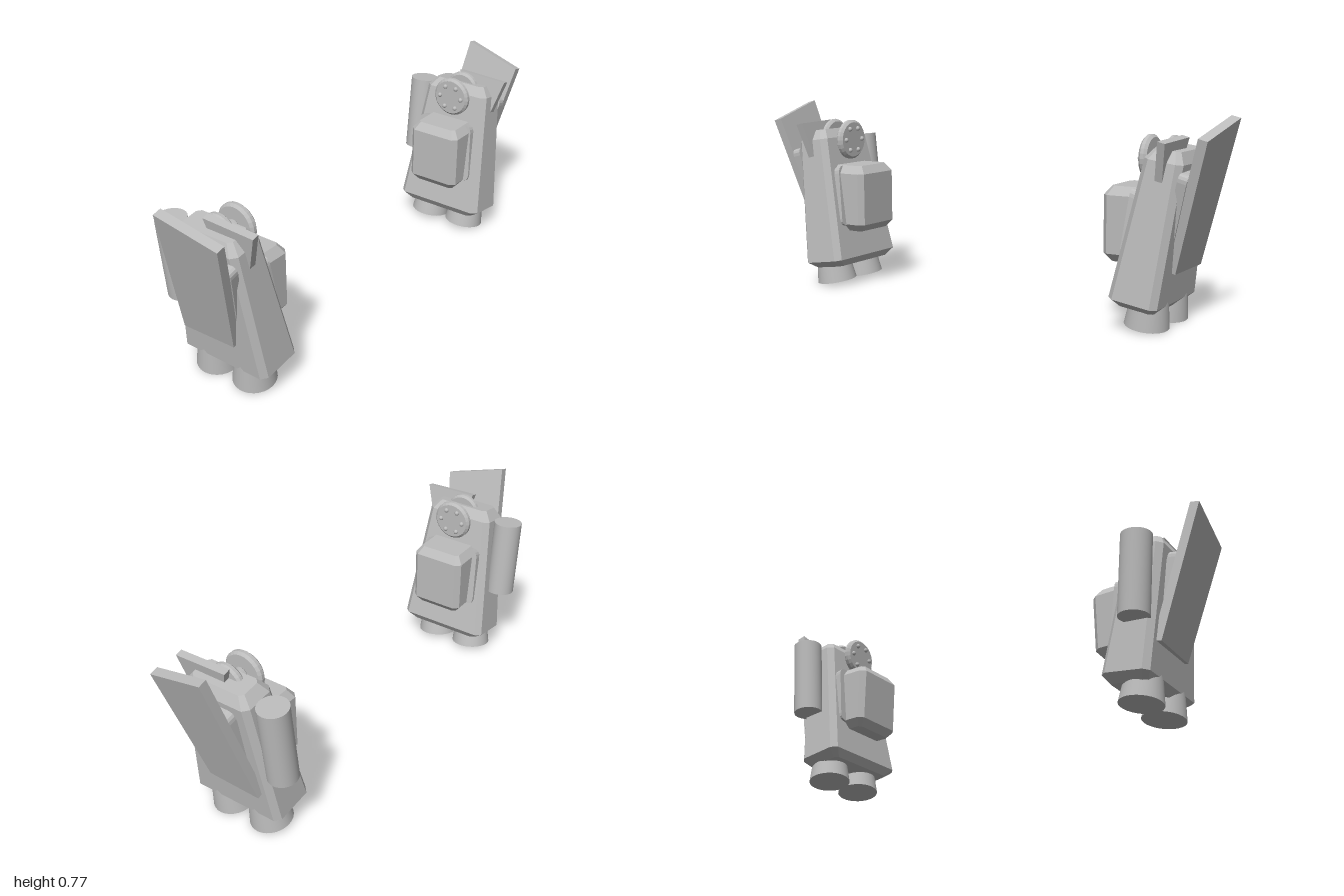
import * as THREE from 'three';

const grey = new THREE.MeshStandardMaterial({ color: 0xbcbcbc });
grey.name = 'plain grey';

// Closed solid through equal-sized rings of [x, y, z], flat shaded, faces turned outward
function loft(rings) {
  const tris = [], n = rings[0].length;
  for (let r = 0; r < rings.length - 1; r++) {
    for (let i = 0; i < n; i++) {
      const j = (i + 1) % n, a = rings[r], b = rings[r + 1];
      tris.push([a[i], a[j], b[j]], [a[i], b[j], b[i]]);
    }
  }
  const first = rings[0], last = rings[rings.length - 1];
  for (let i = 1; i < n - 1; i++) {
    tris.push([first[0], first[i + 1], first[i]], [last[0], last[i], last[i + 1]]);
  }
  const v = p => new THREE.Vector3(...p), o = v(first[0]);
  let volume = 0;
  for (const [a, b, c] of tris) volume += v(a).sub(o).dot(v(b).sub(o).cross(v(c).sub(o)));
  const pos = tris.flatMap(([a, b, c]) => (volume < 0 ? [...a, ...c, ...b] : [...a, ...b, ...c]));
  const g = new THREE.BufferGeometry();
  g.setAttribute('position', new THREE.Float32BufferAttribute(pos, 3));
  g.computeVertexNormals();
  return g;
}

// Horizontal rectangle with cut corners; lean drops its outer side
function ring(y, xc, hw, z0, z1, c, lean = 0) {
  const hz = (z1 - z0) / 2, zc = (z0 + z1) / 2;
  return [[hw - c, hz], [hw, hz - c], [hw, c - hz], [hw - c, -hz],
    [c - hw, -hz], [-hw, c - hz], [-hw, hz - c], [c - hw, hz]]
    .map(([x, z]) => [xc + x, y - x * lean, zc + z]);
}

// Upright leaning plate from a [z, y] outline, with corners rounded by r
function plate(outline, xAt, thick, r = 0) {
  const pts = [];
  outline.forEach((p, i) => {
    if (!r) { pts.push(p); return; }
    const n = outline.length, P = new THREE.Vector2(...p);
    const toward = q => P.clone().add(new THREE.Vector2(...q).sub(P).setLength(r));
    const curve = new THREE.QuadraticBezierCurve(
      toward(outline[(i + n - 1) % n]), P, toward(outline[(i + 1) % n]));
    curve.getPoints(4).forEach(q => pts.push([q.x, q.y]));
  });
  return loft([0, 1].map(k => pts.map(([z, y]) => [xAt(y, z) - k * thick, y + k * thick * 0.25, z])));
}

// Disc facing sideways, with a bevelled rim
function disc(r, t, x, y, z) {
  const b = t * 0.3;
  const profile = [[0, -t / 2], [r - b, -t / 2], [r, b - t / 2], [r, t / 2 - b], [r - b, t / 2], [0, t / 2]]
    .map(p => new THREE.Vector2(...p));
  const g = new THREE.LatheGeometry(profile, 28).toNonIndexed();
  g.computeVertexNormals();
  return g.rotateZ(Math.PI / 2).translate(x, y, z);
}

// Reflected copy across x = 0, with the corner order restored
function mirrored(geometry) {
  const g = geometry.index ? geometry.toNonIndexed() : geometry.clone();
  g.scale(-1, 1, 1);
  for (const a of Object.values(g.attributes)) {
    const s = a.itemSize;
    for (let i = 0; i < a.count; i += 3) {
      for (let k = 0; k < s; k++) {
        const p = (i + 1) * s + k, q = (i + 2) * s + k, t = a.array[p];
        a.array[p] = a.array[q];
        a.array[q] = t;
      }
    }
  }
  return g;
}

export function createModel() {
  const model = new THREE.Group();
  model.name = 'mirroredPods';
  const leftPod = new THREE.Group(), rightPod = new THREE.Group();
  leftPod.name = 'leftPod';
  rightPod.name = 'rightPod';
  model.add(leftPod, rightPod);

  const add = (name, geometry) => {
    for (const [pod, g] of [[leftPod, geometry], [rightPod, mirrored(geometry)]]) {
      const mesh = new THREE.Mesh(g, grey);
      mesh.name = name;
      pod.add(mesh);
    }
  };

  // Tapered leaning body with bevelled ends
  add('body', loft([
    ring(0.08, 0.708, 0.07, -0.125, 0.19, 0.015, 0.15),
    ring(0.108, 0.711, 0.094, -0.165, 0.232, 0.022, 0.15),
    ring(0.615, 0.797, 0.073, -0.112, 0.182, 0.022, 0.15),
    ring(0.655, 0.803, 0.048, -0.08, 0.15, 0.015, 0.15),
  ]));

  // Two flared feet
  for (const [name, z] of [['frontFoot', 0.113], ['rearFoot', -0.065]]) {
    const g = new THREE.CylinderGeometry(0.068, 0.083, 0.11, 28).translate(0, 0.055, 0);
    g.rotateX(0.08).rotateZ(-0.13).translate(0.725, 0.0125, z);
    add(name, g);
  }

  // Large outer panel, the mount behind it and the upper fin
  add('outerPanel', plate([[-0.04, 0.762], [0.21, 0.695], [0.12, 0.21], [-0.11, 0.21]],
    (y, z) => 0.775 + 0.294 * y - 0.029 * z, 0.035));
  add('panelMount', plate([[-0.06, 0.58], [0.19, 0.57], [0.132, 0.255], [-0.08, 0.255]],
    (y, z) => 0.748 + 0.275 * y - 0.029 * z, 0.035, 0.03));
  add('fin', plate([[0.01, 0.69], [0.232, 0.683], [0.185, 0.53], [0.05, 0.53]],
    y => 0.706 + 0.18 * y, 0.028));

  // Inner pack and its mounting plate
  add('packPlate', plate([[-0.1, 0.5], [0.155, 0.5], [0.175, 0.25], [-0.11, 0.25]],
    y => 0.65 + 0.13 * y, 0.045, 0.03));
  add('pack', loft([
    ring(0.235, 0.645, 0.065, -0.055, 0.125, 0.012),
    ring(0.265, 0.64, 0.085, -0.08, 0.15, 0.02),
    ring(0.48, 0.64, 0.085, -0.08, 0.15, 0.02),
    ring(0.513, 0.645, 0.065, -0.055, 0.125, 0.012),
  ]));

  // Studded dial on the inner side, its axle, and a half-buried disc on top
  add('dial', disc(0.083, 0.032, 0.695, 0.615, 0.04));
  add('dialAxle', disc(0.03, 0.06, 0.73, 0.615, 0.04));
  for (let i = 0; i < 6; i++) {
    const a = (i / 6) * Math.PI * 2;
    add('dialStud', new THREE.SphereGeometry(0.01, 10, 8)
      .translate(0.678, 0.615 + 0.052 * Math.sin(a), 0.04 + 0.052 * Math.cos(a)));
  }
  add('topDisc', disc(0.075, 0.03, 0.785, 0.623, 0.04));

  // Rear canister
  add('canister', new THREE.CylinderGeometry(0.059, 0.059, 0.323, 32)
    .rotateZ(-0.1).translate(0.787, 0.458, -0.172));

  return model;
}
